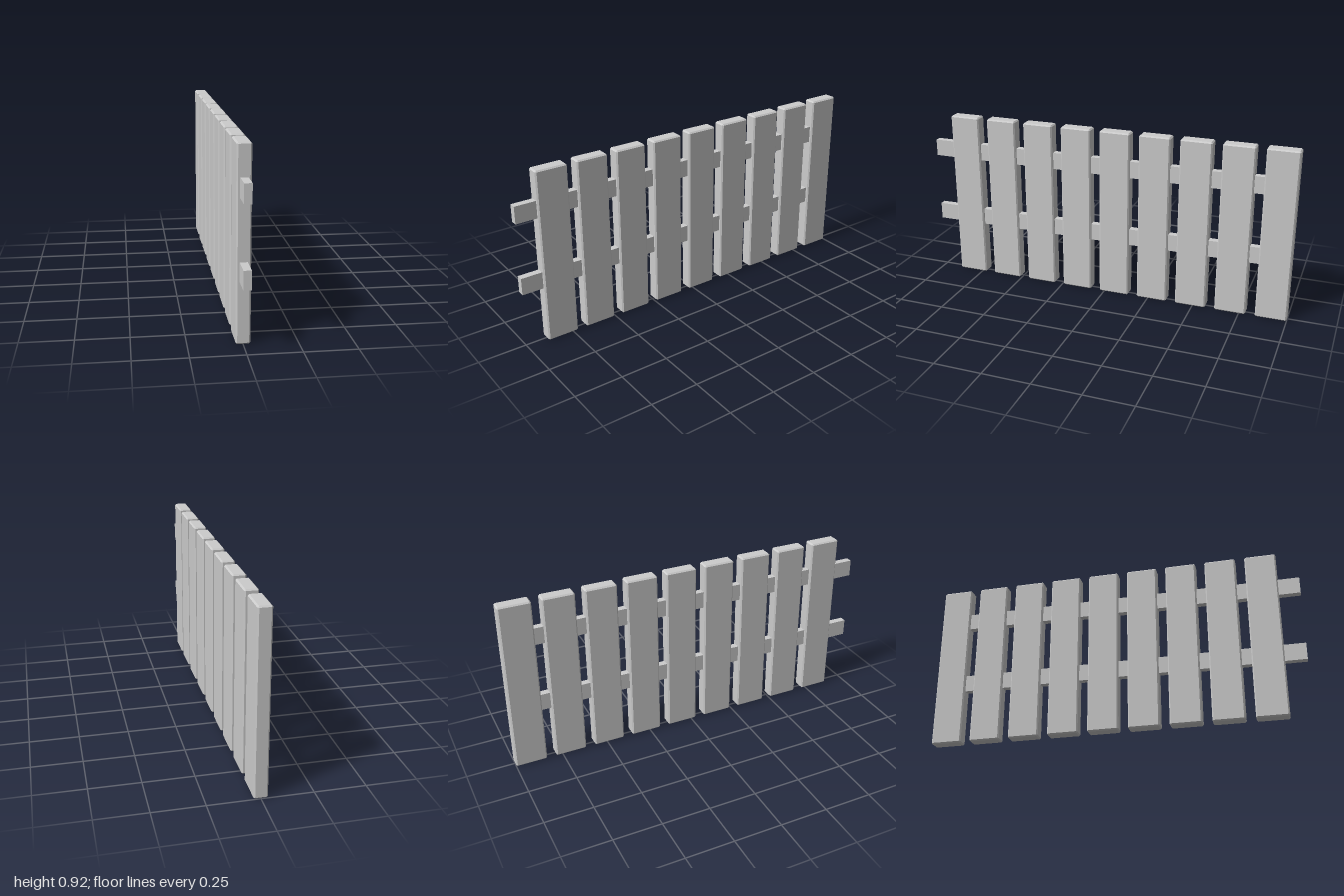
import * as THREE from 'three';
import { ConvexGeometry } from 'three/addons/geometries/ConvexGeometry.js';

const material = new THREE.MeshStandardMaterial({ color: 0xcccccc, flatShading: true });

// Box with every edge cut by a flat chamfer c
function chamferedBox(w, h, d, c) {
  const points = [];
  for (const x of [-w / 2, w / 2])
    for (const y of [-h / 2, h / 2])
      for (const z of [-d / 2, d / 2]) {
        const sx = Math.sign(x) * c, sy = Math.sign(y) * c, sz = Math.sign(z) * c;
        points.push(
          new THREE.Vector3(x, y - sy, z - sz),
          new THREE.Vector3(x - sx, y, z - sz),
          new THREE.Vector3(x - sx, y - sy, z));
      }
  return new ConvexGeometry(points);
}

export function createModel() {
  const fence = new THREE.Group();
  fence.name = 'picketFence';

  // Nine upright planks, evenly spaced from the back end
  const count = 9, width = 0.165, height = 0.916, pitch = 0.2154;
  const plankGeometry = chamferedBox(0.068, height, width, 0.007);
  for (let i = 0; i < count; i++) {
    const plank = new THREE.Mesh(plankGeometry, material);
    plank.name = `plank${i + 1}`;
    plank.position.set(0, height / 2, -1 + width / 2 + i * pitch);
    fence.add(plank);
  }

  // Two rails through the planks, sticking out at the front end
  const backEnd = -0.92, frontEnd = 1;
  const railGeometry = new THREE.BoxGeometry(0.036, 0.09, frontEnd - backEnd);
  for (const [name, y] of [['lowerRail', 0.34], ['upperRail', 0.719]]) {
    const rail = new THREE.Mesh(railGeometry, material);
    rail.name = name;
    rail.position.set(0, y, (frontEnd + backEnd) / 2);
    fence.add(rail);
  }
  return fence;
}
